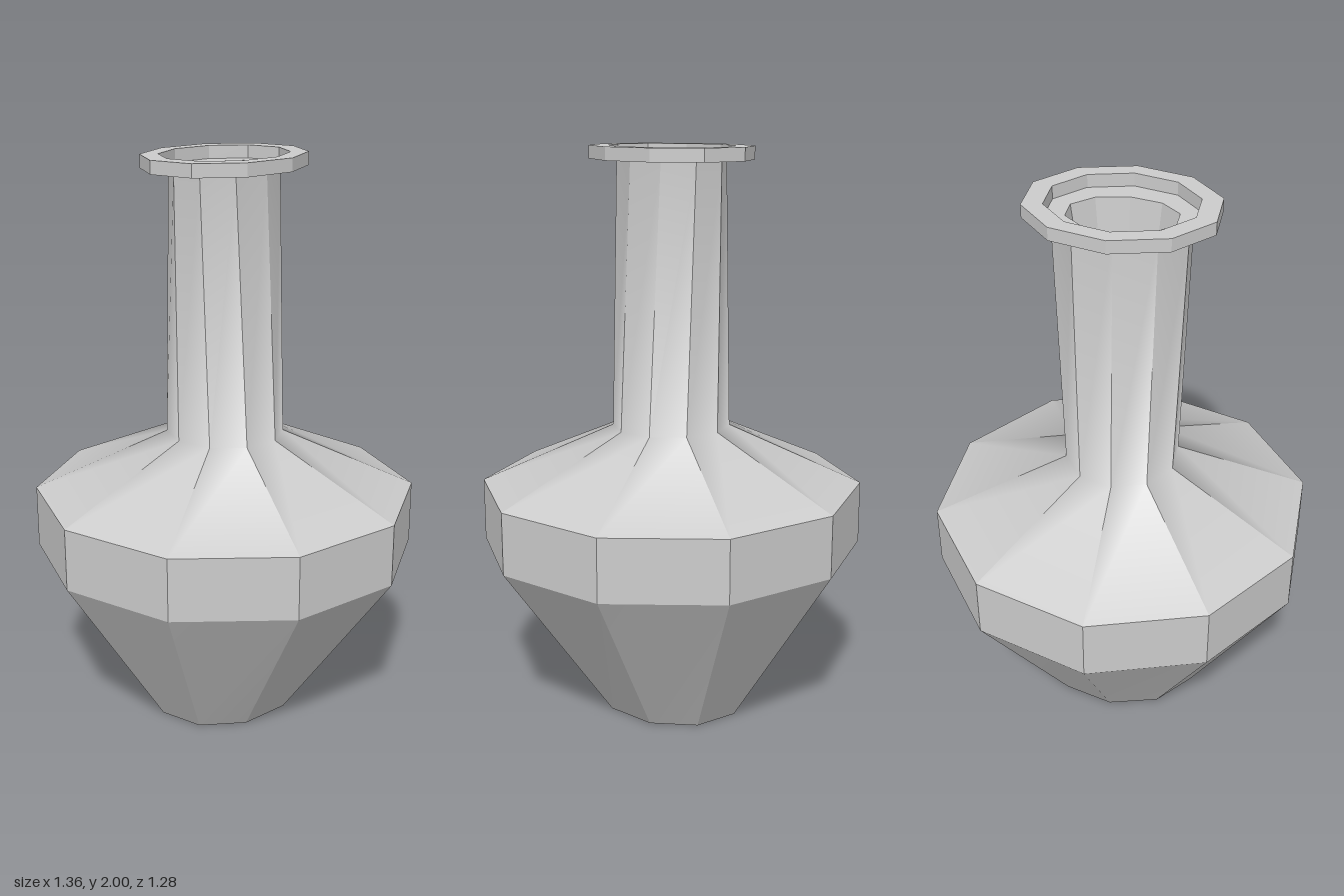
import * as THREE from 'three';

const SIDES = 10;

// Each ring is [x radius, y, z radius]. Facets stay sharp around the axis
// and are shaded smoothly along the profile of one band.
function band(rings) {
  const pos = [], idx = [];
  for (let s = 0; s < SIDES; s++) {
    const base = pos.length / 3;
    for (const [rx, y, rz] of rings) {
      for (const k of [s, s + 1]) {
        const a = (k / SIDES) * Math.PI * 2;
        pos.push(rx * Math.cos(a), y, rz * Math.sin(a));
      }
    }
    for (let i = 0; i < rings.length - 1; i++) {
      const a = base + i * 2, b = a + 1, c = a + 2, d = a + 3;
      idx.push(a, c, b, b, c, d);
    }
  }
  const g = new THREE.BufferGeometry();
  g.setAttribute('position', new THREE.Float32BufferAttribute(pos, 3));
  g.setIndex(idx);
  g.computeVertexNormals();
  return g;
}

export function createModel() {
  const group = new THREE.Group();
  group.name = 'vase';
  const material = new THREE.MeshStandardMaterial({ color: 0xcccccc });

  // Profile rings shared between neighbouring parts
  const foot = [0.26, 0, 0.3];
  const bellyLow = [0.68, 0.6, 0.673];
  const bellyHigh = [0.68, 0.82, 0.673];
  const neckBase = [0.21, 1.03, 0.2];
  const neckTop = [0.165, 1.955, 0.232];
  const lipUnder = [0.262, 1.955, 0.322];
  const lipTop = [0.262, 2, 0.322];
  const rimInner = [0.205, 2, 0.252];
  const ledgeOuter = [0.205, 1.955, 0.252];
  const throatTop = [0.125, 1.955, 0.185];
  const throatFloor = [0.055, 1.2, 0.08];

  const parts = {
    base: [[0, 0, 0], foot],
    lowerBody: [foot, bellyLow],
    bellyBand: [bellyLow, bellyHigh],
    shoulderAndNeck: [bellyHigh, neckBase, neckTop],
    lipUnderside: [neckTop, lipUnder],
    lipEdge: [lipUnder, lipTop],
    rim: [lipTop, rimInner],
    rimInnerWall: [rimInner, ledgeOuter],
    mouthLedge: [ledgeOuter, throatTop],
    throat: [throatTop, throatFloor],
    throatFloor: [throatFloor, [0, 1.2, 0]],
  };

  for (const [name, rings] of Object.entries(parts)) {
    const mesh = new THREE.Mesh(band(rings), material);
    mesh.name = name;
    group.add(mesh);
  }
  return group;
}
